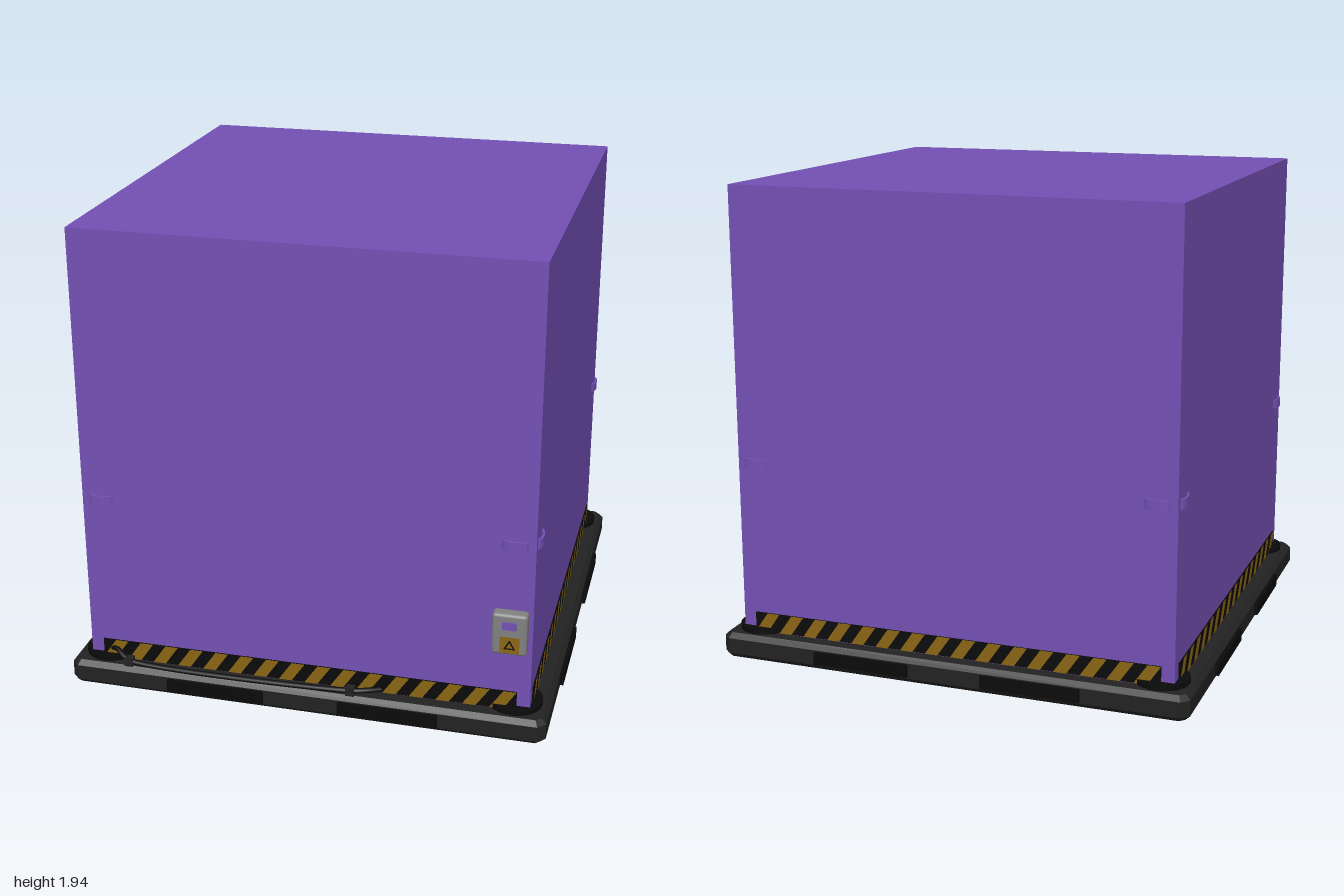
import * as THREE from 'three';
import { RoundedBoxGeometry } from 'three/addons/geometries/RoundedBoxGeometry.js';

const mat = (color, flat = false) => new THREE.MeshStandardMaterial({ color, flatShading: flat });
const purple = mat(0x7350b4, true), dark = mat(0x222222, true), black = mat(0x0a0a0a);
const yellow = mat(0x8a6514), grey = mat(0x808080);

function add(parent, name, geo, material, x = 0, y = 0, z = 0) {
  const m = new THREE.Mesh(geo, material);
  m.name = name;
  m.position.set(x, y, z);
  parent.add(m);
  return m;
}

// Square outline with cut corners
function square(Type, h, c) {
  const s = new Type();
  [[h, c - h], [h, h - c], [h - c, h], [c - h, h], [-h, h - c], [-h, c - h], [c - h, -h], [h - c, -h]]
    .forEach(([x, y], i) => (i ? s.lineTo(x, y) : s.moveTo(x, y)));
  s.closePath();
  return s;
}

// Slanted hazard bars in one strip
function hazardBars(width, height, count) {
  const step = width / count, slant = 0.055, shapes = [];
  for (let i = 0; i < count; i++) {
    const x = -width / 2 + i * step, w = step * 0.5;
    const right = Math.min(x + w + slant, width / 2);
    const s = new THREE.Shape();
    s.moveTo(x, 0);
    s.lineTo(x + w, 0);
    s.lineTo(right, height);
    s.lineTo(x + slant, height);
    s.closePath();
    shapes.push(s);
  }
  return new THREE.ShapeGeometry(shapes);
}

// Curved grip that bows out of the wall
function gripGeometry() {
  const s = new THREE.Shape();
  s.moveTo(-0.055, 0);
  s.bezierCurveTo(-0.045, 0.027, 0.03, 0.027, 0.055, 0);
  s.lineTo(0.04, 0);
  s.bezierCurveTo(0.02, 0.015, -0.03, 0.015, -0.04, 0);
  s.closePath();
  const g = new THREE.ExtrudeGeometry(s, { depth: 0.04, bevelEnabled: false, curveSegments: 6 });
  return g.translate(0, 0, -0.02).rotateX(Math.PI / 2).scale(1, 1, 1);
}

export function createModel() {
  const model = new THREE.Group();
  model.name = 'cubeOnBase';

  // Main cube with its dark underside panel
  add(model, 'cube', new THREE.BoxGeometry(1.826, 1.865, 1.826), purple, 0, 1.0025, 0);
  add(model, 'undersidePanel', new THREE.BoxGeometry(1.54, 0.012, 1.54), black, 0, 0.066, 0);

  // Bevelled base frame
  const outline = square(THREE.Shape, 0.965, 0.02);
  outline.holes.push(square(THREE.Path, 0.895, 0.02));
  const frame = new THREE.ExtrudeGeometry(outline,
    { depth: 0.064, bevelSize: 0.02, bevelThickness: 0.02, bevelSegments: 1 });
  frame.rotateX(-Math.PI / 2);
  add(model, 'baseFrame', frame, dark, 0, 0.02, 0);

  // Corner discs and their pins
  for (const x of [-1, 1]) for (const z of [-1, 1]) {
    add(model, 'cornerDisc', new THREE.CylinderGeometry(0.108, 0.108, 0.034, 32), black, x * 0.847, 0.108, z * 0.847);
    add(model, 'cornerPin', new THREE.CylinderGeometry(0.025, 0.025, 0.02, 16), black, x * 0.82, 0.062, z * 0.82);
  }

  // Four matching sides
  const bars = hazardBars(1.72, 0.08, 16), grip = gripGeometry();
  for (let i = 0; i < 4; i++) {
    const side = new THREE.Group();
    side.name = 'side';
    side.rotation.y = i * Math.PI / 2;
    model.add(side);
    add(side, 'hazardStrip', new THREE.BoxGeometry(1.72, 0.08, 0.006), black, 0, 0.147, 0.914);
    add(side, 'hazardBars', bars, yellow, 0, 0.107, 0.919);
    for (const s of [-1, 1]) {
      add(side, 'forkSlot', new THREE.BoxGeometry(0.405, 0.052, 0.03), black, s * 0.357, 0.054, 0.985);
      const g = add(side, 'grip', grip, purple, s * 0.832, 0.82, 0.911);
      g.rotation.z = s < 0 ? 0 : Math.PI;
    }
  }

  // Control box with screen and warning label
  const box = new THREE.Group();
  box.name = 'controlBox';
  box.position.set(0.828, 0.462, 0.937);
  model.add(box);
  add(box, 'housing', new RoundedBoxGeometry(0.138, 0.175, 0.056, 3, 0.014), grey);
  add(box, 'screen', new THREE.BoxGeometry(0.054, 0.032, 0.012), purple, 0, 0.04, 0.027);
  add(box, 'warningLabel', new THREE.BoxGeometry(0.076, 0.068, 0.004), yellow, 0.003, -0.042, 0.028);
  const tri = (Type, r) => new Type([0, 1, 2].map(k => {
    const a = Math.PI / 2 + k * Math.PI * 2 / 3;
    return new THREE.Vector2(r * Math.cos(a), r * Math.sin(a));
  }));
  const sign = tri(THREE.Shape, 0.027);
  sign.holes.push(tri(THREE.Path, 0.016));
  add(box, 'warningTriangle', new THREE.ShapeGeometry(sign), black, 0.003, -0.046, 0.031);

  // Cable along the front ledge, held by two clips
  const tube = (pts, r) => new THREE.TubeGeometry(
    new THREE.CatmullRomCurve3(pts.map(p => new THREE.Vector3(...p)), false, 'centripetal'), 64, r, 8);
  add(model, 'cable', tube([[-0.84, 0.14, 0.9], [-0.8, 0.152, 0.925], [-0.76, 0.135, 0.95], [-0.72, 0.12, 0.957],
    [0.2, 0.12, 0.957], [0.26, 0.12, 0.94], [0.33, 0.115, 0.9]], 0.011), black);
  for (const x of [-0.735, 0.2])
    add(model, 'cableClip', new THREE.BoxGeometry(0.035, 0.036, 0.032), dark, x, 0.12, 0.955);

  // Cable loop under the front right corner
  add(model, 'cableLoop', tube([[-0.86, 0.06, 0.73], [-0.76, 0.055, 0.77], [-0.73, 0.055, 0.85],
    [-0.82, 0.055, 0.86], [-0.86, 0.06, 0.8]], 0.011), black);

  return model;
}
